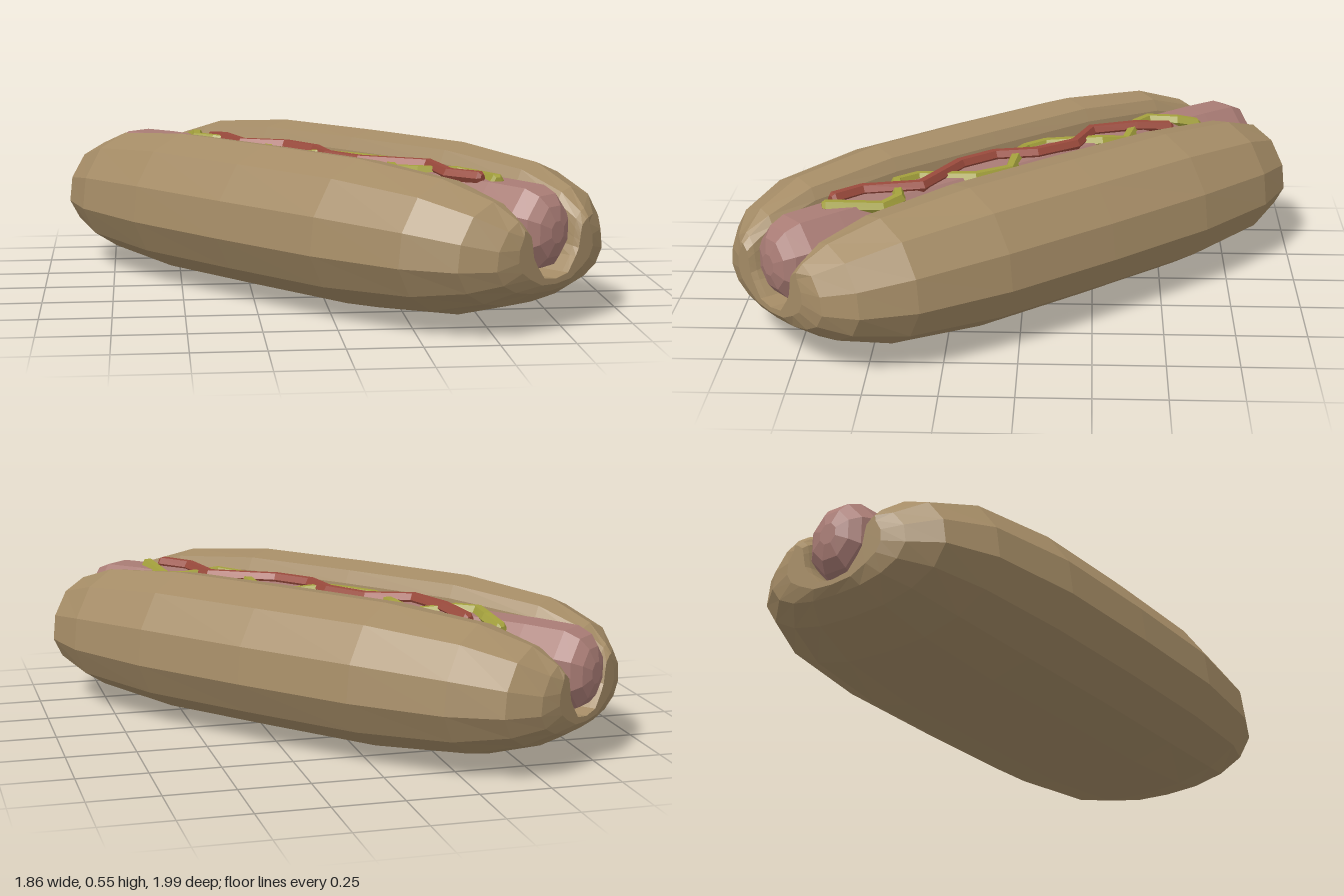
import * as THREE from 'three';

// Skin a list of rings (counter-clockwise seen from the far end), closing both ends.
// Each end is zipped shut between point i and its opposite n-1-i.
function loft(name, rings, color) {
  const n = rings[0].length, index = [];
  const quad = (a, b, c, d) => index.push(a, b, c, a, c, d);
  for (let k = 0; k < rings.length - 1; k++) {
    for (let i = 0; i < n; i++) {
      const j = (i + 1) % n;
      quad(k * n + i, k * n + j, (k + 1) * n + j, (k + 1) * n + i);
    }
  }
  const last = (rings.length - 1) * n;
  for (let i = 0; i < n / 2 - 1; i++) {
    quad(n - 1 - i, n - 2 - i, i + 1, i);
    quad(last + i, last + i + 1, last + n - 2 - i, last + n - 1 - i);
  }
  const geometry = new THREE.BufferGeometry().setFromPoints(rings.flat());
  geometry.setIndex(index);
  geometry.computeVertexNormals();
  const mesh = new THREE.Mesh(geometry, new THREE.MeshStandardMaterial({ color, flatShading: true }));
  mesh.name = name;
  return mesh;
}

// Half cross-sections of the bun, from bottom centre to lobe top: [across, height]
const OUTER = [[0, 0], [0.18, 0.01], [0.335, 0.05], [0.455, 0.125], [0.517, 0.24], [0.5, 0.37], [0.415, 0.49], [0.28, 0.543]];
const GROOVE = [[0, 0.18], [0.07, 0.19], [0.115, 0.24], [0.132, 0.3], [0.138, 0.36], [0.143, 0.42], [0.15, 0.48], [0.175, 0.525]];

// One bun ring: half width, bottom, top, groove scale, and how far the wall rounds inwards
function bunRing(z, width, bottom, top, groove, pinch) {
  const mid = 0.24;
  const raise = (y) => mid + (y - mid) * (top - mid) / 0.303;
  const inner = GROOVE.map(([x, y]) => [x * groove, y > mid ? raise(y) : y]);
  const outer = OUTER.map(([x, y], i) => {
    const px = i ? Math.max(x * width / 0.517, inner[i][0] + 0.02) : 0;
    const py = y > mid ? raise(y) : mid - (mid - y) * (mid - bottom) / mid;
    return [THREE.MathUtils.lerp(px, inner[i][0], pinch), THREE.MathUtils.lerp(py, inner[i][1], pinch)];
  });
  const mirrored = (half) => [...half.slice(1).reverse().map(([x, y]) => [-x, y]), ...half];
  return [...mirrored(outer), ...mirrored(inner).reverse()].map(([x, y]) => new THREE.Vector3(x, y, z));
}

function makeBun() {
  const half = [
    [0.45, 0.515, 0, 0.543, 1, 0],
    [0.8, 0.467, 0.03, 0.51, 0.96, 0],
    [0.98, 0.385, 0.085, 0.45, 0.9, 0],
    [1.06, 0.285, 0.135, 0.39, 0.9, 0],
    [1.083, 0.25, 0.15, 0.365, 0.92, 0.4],
  ];
  const stations = [
    ...half.slice().reverse().map(([z, ...rest]) => [-z, ...rest]),
    [0, 0.522, 0, 0.545, 1, 0],
    ...half,
  ];
  const bun = loft('bun', stations.map((s) => bunRing(...s)), 0xa58c66);
  bun.position.z = 0.015;
  return bun;
}

function makeSausage() {
  const half = [[0.85, 1], [1, 0.97], [1.055, 0.82], [1.085, 0.58], [1.1, 0.25]];
  const stations = [...half.slice().reverse().map(([z, r]) => [-z, r]), [0, 1], ...half];
  const sides = 8;
  const rings = stations.map(([z, r]) => Array.from({ length: sides }, (_, i) => {
    const a = (i + 0.5) / sides * Math.PI * 2;
    return new THREE.Vector3(0.14 * r * Math.cos(a), 0.335 + 0.157 * r * Math.sin(a), z);
  }));
  return loft('sausage', rings, 0xa97c75);
}

const TURN = 0.709; // the whole snack lies diagonally

// A squeezed line of sauce through [x, z] points, draped over the sausage
function makeSauce(name, points, color, lift) {
  const path = points.map(([x, z]) => {
    const across = Math.abs(x * Math.cos(TURN) - z * Math.sin(TURN));
    return new THREE.Vector3(x, 0.48 + lift - 0.5 * Math.max(0, across - 0.05), z);
  });
  const up = new THREE.Vector3(0, 1, 0), sides = 6;
  const ring = (p, tangent, r) => {
    const side = up.clone().cross(tangent).normalize();
    return Array.from({ length: sides }, (_, i) => {
      const a = i / sides * Math.PI * 2;
      return p.clone().addScaledVector(side, r * Math.cos(a)).addScaledVector(up, r * Math.sin(a));
    });
  };
  const rings = path.map((p, i) => {
    const before = path[Math.max(i - 1, 0)], after = path[Math.min(i + 1, path.length - 1)];
    return ring(p, after.clone().sub(before), 0.025);
  });
  // Small rounded tips
  const tip = (p, q) => p.clone().add(p.clone().sub(q).setLength(0.012));
  const e = path.length - 1;
  rings.unshift(ring(tip(path[0], path[1]), path[1].clone().sub(path[0]), 0.014));
  rings.push(ring(tip(path[e], path[e - 1]), path[e].clone().sub(path[e - 1]), 0.014));
  return loft(name, rings, color);
}

export function createModel() {
  const model = new THREE.Group();
  model.name = 'hotDog';

  const body = new THREE.Group();
  body.name = 'bunAndSausage';
  body.rotation.y = TURN;
  body.add(makeBun(), makeSausage());

  const mustard = [
    [-0.44, -0.65], [-0.42, -0.57], [-0.425, -0.46], [-0.36, -0.41], [-0.21, -0.37], [-0.17, -0.28],
    [-0.16, -0.07], [-0.1, 0], [0, 0.03], [0.14, 0.05], [0.23, 0.17], [0.235, 0.37], [0.31, 0.44],
    [0.45, 0.42], [0.51, 0.47], [0.545, 0.66],
  ];
  const ketchup = [
    [-0.36, -0.54], [-0.32, -0.41], [-0.26, -0.24], [-0.1, -0.18], [0, -0.04], [0.03, 0.11],
    [0.13, 0.23], [0.36, 0.35], [0.4, 0.55], [0.49, 0.64],
  ];
  model.add(body, makeSauce('mustard', mustard, 0xa3a03c, 0), makeSauce('ketchup', ketchup, 0x9a4a3c, 0.008));
  return model;
}
